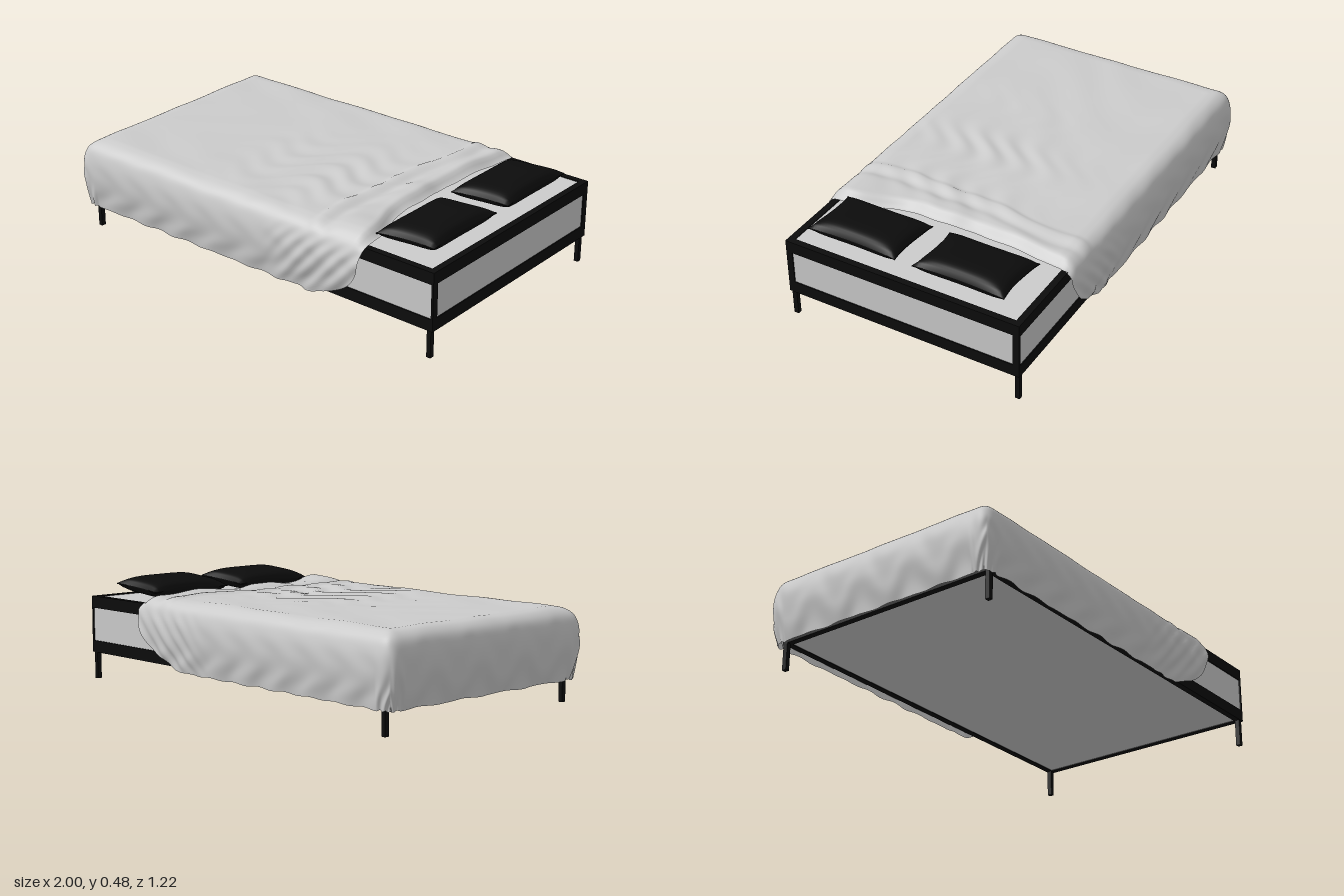
import * as THREE from 'three';

const grey = new THREE.MeshStandardMaterial({ color: 0xcccccc });
const cloth = new THREE.MeshStandardMaterial({ color: 0xcccccc, side: THREE.DoubleSide });
const black = new THREE.MeshStandardMaterial({ color: 0x0c0c0c });
const { smoothstep, lerp } = THREE.MathUtils;

// Box given by its limits on each axis
function box(name, [x0, x1], [y0, y1], [z0, z1], material) {
  const mesh = new THREE.Mesh(new THREE.BoxGeometry(x1 - x0, y1 - y0, z1 - z0), material);
  mesh.position.set((x0 + x1) / 2, (y0 + y1) / 2, (z0 + z1) / 2);
  mesh.name = name;
  return mesh;
}

// Rectangular ring of four rails
function railRing(name, y) {
  const ring = new THREE.Group();
  ring.name = name;
  ring.add(
    box('headRail', [0.97, 1], y, [-0.565, 0.565], black),
    box('footRail', [-0.93, -0.9], y, [-0.565, 0.565], black),
    box('leftRail', [-0.9, 0.97], y, [0.535, 0.565], black),
    box('rightRail', [-0.9, 0.97], y, [-0.565, -0.535], black),
  );
  return ring;
}

// Soft pillow: thick in the middle, pinched sides, pointed corners
function pillow(name, z) {
  const geo = new THREE.BoxGeometry(2, 2, 2, 24, 1, 32);
  const p = geo.attributes.position;
  for (let i = 0; i < p.count; i++) {
    const u = p.getX(i), v = p.getZ(i), side = p.getY(i);
    const puff = Math.pow((1 - u ** 4) * (1 - v ** 4), 0.55);
    p.setXYZ(i,
      0.147 * u * (1 - 0.1 * (1 - v * v) * u * u),
      side * (0.041 * puff + 0.002),
      0.217 * v * (1 - 0.07 * (1 - u * u) * v * v));
  }
  geo.computeVertexNormals();
  const mesh = new THREE.Mesh(geo, black);
  mesh.position.set(0.795, 0.435, z);
  mesh.rotation.z = 0.07;
  mesh.name = name;
  return mesh;
}

// Blanket: a sheet that rolls over three bed edges along one drop profile
function blanket() {
  const drop = new THREE.CatmullRomCurve3([
    [0, 0.425], [0.04, 0.416], [0.073, 0.39], [0.092, 0.34],
    [0.097, 0.27], [0.09, 0.2], [0.073, 0.106],
  ].map(([x, y]) => new THREE.Vector3(x, y, 0)));
  const length = drop.getLength(), footX = -0.9, sideZ = 0.505;
  const nx = 150, nz = 150;
  const geo = new THREE.PlaneGeometry(1, 1, nx, nz);
  const p = geo.attributes.position;
  const q = new THREE.Vector3();

  for (let i = 0; i < p.count; i++) {
    const t = lerp(-1, 1, Math.floor(i / (nx + 1)) / nz) * (sideZ + length);
    const s0 = lerp(footX - length, 0.6, (i % (nx + 1)) / nx);
    const dt = Math.max(0, Math.abs(t) - sideZ);

    // Head edge sweeps back toward the foot as it hangs lower
    const head = 0.575 + 0.03 * smoothstep(-t, 0.25, 0.5) + 0.085 * smoothstep(t, 0.15, 0.55)
      + 0.008 * Math.sin(t * 17) - 0.28 * Math.pow(dt / length, 4);
    const s = s0 + smoothstep(s0, -0.2, 0.6) * (head - 0.6);

    // Position on the top or along the drop
    const ds = Math.max(0, footX - s);
    const d = Math.max(ds, dt);
    drop.getPointAt(Math.min(1, d / length), q);
    const norm = Math.pow(ds ** 4 + dt ** 4, 0.25) || 1;
    const out = q.x + (d / length) * 0.004 * Math.sin(s * 31 + Math.sin(t * 23) * 2);
    const x = Math.max(s, footX) - out * ds / norm;
    const z = Math.sign(t) * (Math.min(Math.abs(t), sideZ) + out * dt / norm);

    // Wrinkles on top, strongest near the folded-back strip
    const top = 1 - smoothstep(d, 0, 0.14);
    const rumple = Math.exp(-(((s - 0.15) / 0.35) ** 2) - ((t - 0.15) / 0.32) ** 2);
    const waves = 0.003 * Math.sin(s * 13 + 2 * Math.sin(t * 7)) * Math.sin(t * 11 + s * 4)
      + 0.005 * rumple * Math.sin(t * 42 + 3 * Math.sin(s * 15) + s * 9);
    const foldX = 0.36 + 0.06 * smoothstep(-t, -0.1, 0.5) + 0.008 * Math.sin(t * 14);
    const fold = 0.009 * smoothstep(s, foldX - 0.012, foldX + 0.012)
      - 0.012 * Math.exp(-(((s - foldX - 0.07) / 0.03) ** 2))
      + 0.006 * Math.sin(t * 16) * smoothstep(s, 0.4, 0.55);
    const hem = 0.036 * smoothstep(s, head - 0.05, head);
    // Slanting creases in the hanging sides below the fold
    const crease = 0.004 * Math.sin((s + dt * 0.9) * 75) * smoothstep(s, 0.1, 0.35)
      * smoothstep(dt, 0.08, 0.16);
    const y = q.y + top * (waves + fold - hem) + (d / length) ** 2 * 0.003 * Math.sin(s * 40 + t * 25);
    p.setXYZ(i, x, Math.max(y, d < 0.06 ? 0.394 : 0.1), z + Math.sign(t) * crease);
  }
  geo.computeVertexNormals();
  const mesh = new THREE.Mesh(geo, cloth);
  mesh.name = 'blanket';
  return mesh;
}

export function createModel() {
  const bed = new THREE.Group();
  bed.name = 'bed';

  // Mattress body with black edging
  bed.add(box('mattress', [-0.925, 0.995], [0.128, 0.386], [-0.56, 0.56], grey));
  bed.add(railRing('lowerFrame', [0.125, 0.18]), railRing('upperEdging', [0.335, 0.39]));

  // Corner strips and legs
  for (const side of [-1, 1]) {
    const z = [side * 0.55 - 0.015, side * 0.55 + 0.015];
    bed.add(box('headCornerStrip', [0.99, 1], [0.18, 0.335], z, black));
    bed.add(box('footCornerStrip', [-0.93, -0.92], [0.18, 0.335], z, black));
    const legZ = [side * 0.55 - 0.011, side * 0.55 + 0.011];
    bed.add(box('headLeg', [0.97, 0.99], [0, 0.125], legZ, black));
    bed.add(box('footLeg', [-0.93, -0.91], [0, 0.125], legZ, black));
  }

  bed.add(pillow('leftPillow', 0.27), pillow('rightPillow', -0.245), blanket());
  return bed;
}
